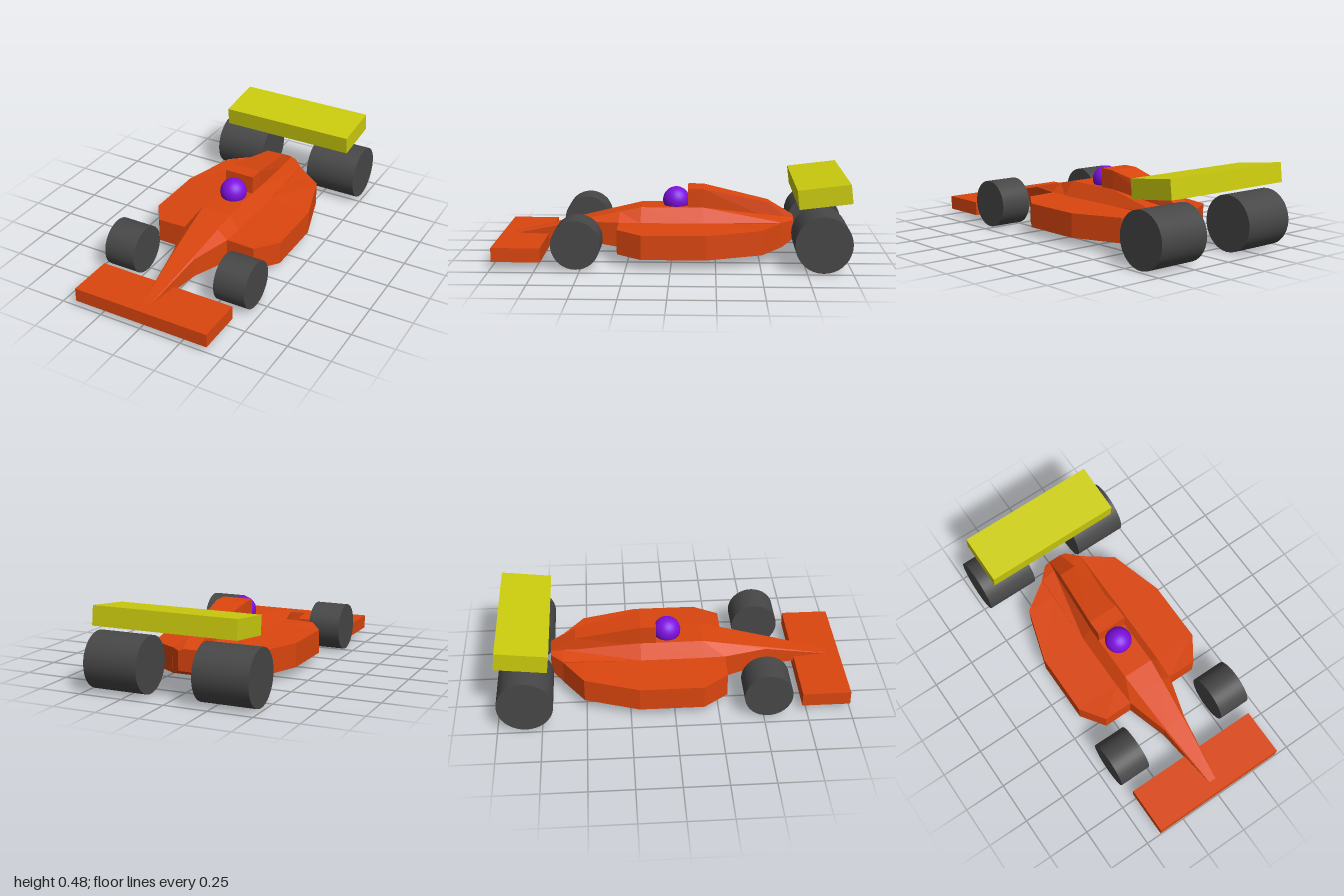
import * as THREE from 'three';

const orange = new THREE.MeshStandardMaterial({ color: 0xdb460f });
const yellow = new THREE.MeshStandardMaterial({ color: 0xcccc0e });
const purple = new THREE.MeshStandardMaterial({ color: 0x7f10e0 });
const rubber = new THREE.MeshStandardMaterial({ color: 0x474747 });

// Faceted skin through mirrored cross-sections, ordered front to back.
// Each section is { z, half: [[x, y], ...] } with its right half listed bottom to top.
function loft(sections) {
  const rings = sections.map(({ z, half }) => [
    ...half.map(([x, y]) => [x, y, z]),
    ...[...half].reverse().map(([x, y]) => [-x, y, z]),
  ]);
  const n = rings[0].length;
  const last = (rings.length - 1) * n;
  const index = [];
  for (let r = 0; r < rings.length - 1; r++) {
    for (let i = 0; i < n; i++) {
      const a = r * n + i, b = r * n + (i + 1) % n;
      index.push(a, a + n, b, b, a + n, b + n);
    }
  }
  for (let i = 1; i < n - 1; i++) {
    index.push(0, i, i + 1, last, last + i + 1, last + i);
  }
  const geometry = new THREE.BufferGeometry();
  geometry.setAttribute('position', new THREE.Float32BufferAttribute(rings.flat(2), 3));
  geometry.setIndex(index);
  const flat = geometry.toNonIndexed();
  flat.computeVertexNormals();
  return flat;
}

export function createModel() {
  const car = new THREE.Group();
  car.name = 'racingCar';

  function add(name, geometry, material, x = 0, y = 0, z = 0) {
    const mesh = new THREE.Mesh(geometry, material);
    mesh.name = name;
    mesh.position.set(x, y, z);
    car.add(mesh);
    return mesh;
  }

  // Nose and central tub: z, floor y, shoulder x and y, deck x and y
  const tub = [
    [0.93, 0.09, 0.024, 0.11, 0.022, 0.115],
    [0.55, 0.085, 0.07, 0.195, 0.06, 0.202],
    [0.305, 0.06, 0.14, 0.203, 0.081, 0.257],
    [0.18, 0.05, 0.145, 0.203, 0.09, 0.285],
    [-0.18, 0.05, 0.145, 0.203, 0.09, 0.285],
    [-0.63, 0.065, 0.14, 0.21, 0.05, 0.23],
    [-0.7, 0.1, 0.07, 0.212, 0.04, 0.22],
  ].map(([z, floor, sx, sy, dx, dy]) => ({ z, half: [[sx, floor], [sx, sy], [dx, dy]] }));
  add('noseAndTub', loft(tub), orange);

  // Side pods, one shell across the tub: z, outer x, floor y, outer top y
  const pods = [
    [0.305, 0.31, 0.06, 0.2],
    [0.165, 0.405, 0.052, 0.19],
    [-0.2, 0.405, 0.052, 0.19],
    [-0.51, 0.31, 0.06, 0.2],
    [-0.63, 0.141, 0.066, 0.208],
  ].map(([z, x, floor, top]) => ({ z, half: [[x, floor], [x, top], [0.13, 0.204]] }));
  add('sidePods', loft(pods), orange);

  // Engine cover behind the driver: z, base x and y, top x and y
  const cover = [
    [-0.09, 0.09, 0.27, 0.09, 0.395],
    [-0.18, 0.09, 0.27, 0.09, 0.393],
    [-0.555, 0.06, 0.22, 0.052, 0.31],
    [-0.7, 0.045, 0.19, 0.04, 0.224],
  ].map(([z, bx, by, tx, ty]) => ({ z, half: [[bx, by], [tx, ty]] }));
  add('engineCover', loft(cover), orange);

  // Driver
  add('driverHelmet', new THREE.SphereGeometry(0.078, 24, 16), purple, 0, 0.314, -0.022);

  // Wings
  add('frontWing', new THREE.BoxGeometry(0.82, 0.08, 0.275), orange, 0, 0.075, 0.8625);
  const rearWing = add('rearWing', new THREE.BoxGeometry(0.825, 0.107, 0.294), yellow, 0, 0.413, -0.845);
  rearWing.rotation.x = 0.12;

  // Wheels
  const wheels = [
    ['front', 0.137, 0.19, 0.35, 0.141, 0.525],
    ['rear', 0.158, 0.315, 0.3175, 0.158, -0.84],
  ];
  for (const [end, radius, width, x, y, z] of wheels) {
    const geometry = new THREE.CylinderGeometry(radius, radius, width, 36).rotateZ(Math.PI / 2);
    add(`${end}LeftWheel`, geometry, rubber, x, y, z);
    add(`${end}RightWheel`, geometry, rubber, -x, y, z);
  }

  return car;
}
